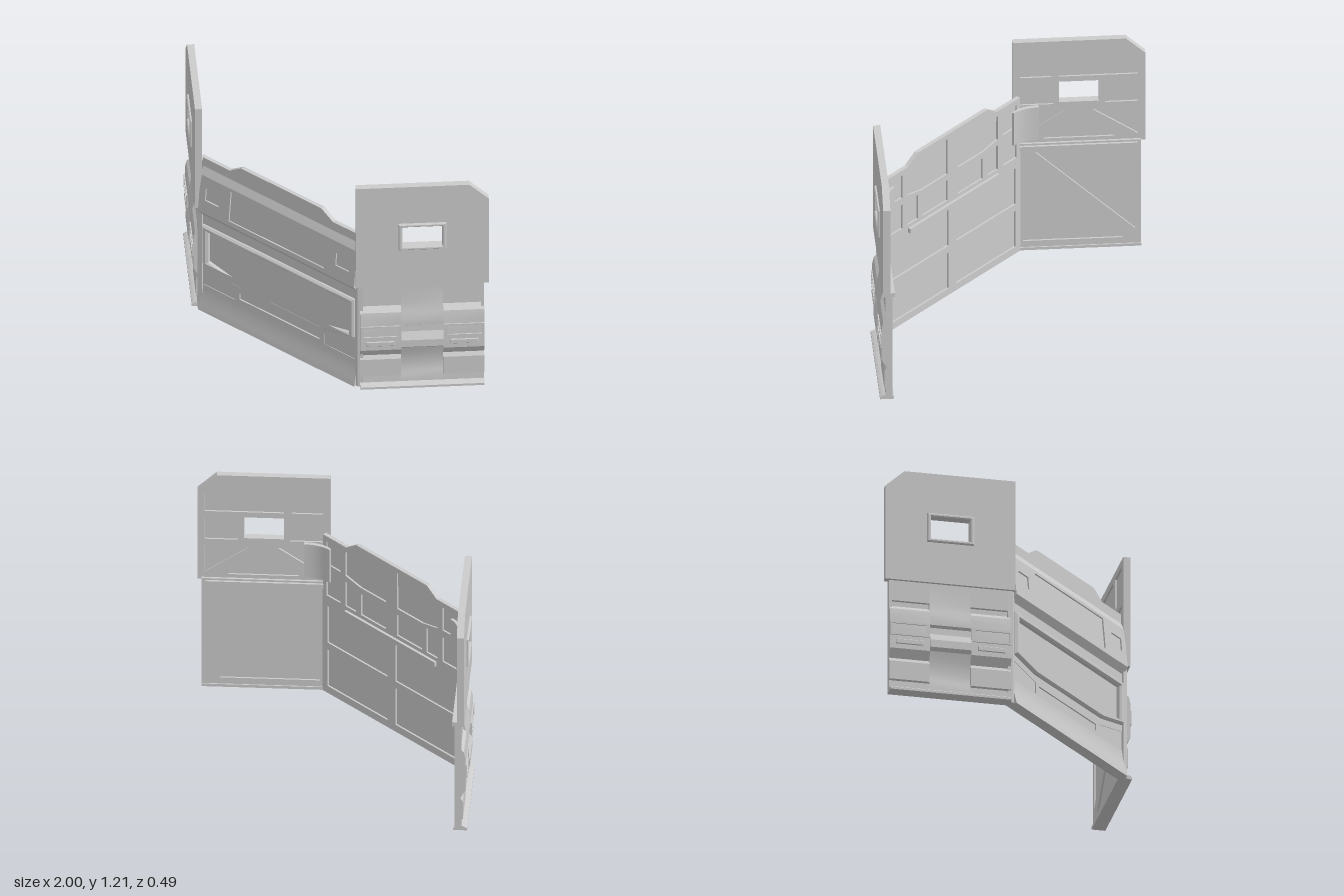
import * as THREE from 'three';
import { toCreasedNormals } from 'three/addons/utils/BufferGeometryUtils.js';

const mat = new THREE.MeshStandardMaterial({ color: 0xcccccc });
const vecs = (pts) => pts.map(([x, y]) => new THREE.Vector2(x, y));
const rect = (x0, x1, y0, y1) => [[x0, y0], [x1, y0], [x1, y1], [x0, y1]];
const flip = (pts) => pts.map(([x, y]) => [-x, y]).reverse();

function add(parent, name, geo) {
  const mesh = new THREE.Mesh(geo, mat);
  mesh.name = name;
  parent.add(mesh);
  return mesh;
}

// Flat sheet with cut-outs, lying between depths z0 and z1
function sheet(outline, holes, z0, z1, bevel = 0) {
  const shape = new THREE.Shape(vecs(outline));
  for (const h of holes) shape.holes.push(new THREE.Path(vecs(h)));
  const geo = new THREE.ExtrudeGeometry(shape, {
    depth: z1 - z0 - bevel, bevelEnabled: bevel > 0, bevelSegments: 1,
    bevelSize: bevel, bevelThickness: bevel, bevelOffset: -bevel,
  });
  return geo.translate(0, 0, z0);
}

// Cross-section of [z, y] points swept across x0..x1
function sweep(pts, x0, x1) {
  const geo = new THREE.ExtrudeGeometry(new THREE.Shape(vecs(pts)), { depth: x1 - x0, bevelEnabled: false });
  return toCreasedNormals(geo.rotateY(-Math.PI / 2).translate(x1, 0, 0), 0.3);
}

// Plan outline of [x, z] points raised from y0 to y1
function column(shape, y0, y1) {
  const geo = new THREE.ExtrudeGeometry(shape, { depth: y1 - y0, bevelEnabled: false, curveSegments: 8 });
  return toCreasedNormals(geo.rotateX(Math.PI / 2).translate(0, y1, 0), 0.5);
}

function box(x0, x1, y0, y1, z0, z1) {
  return new THREE.BoxGeometry(x1 - x0, y1 - y0, z1 - z0)
    .translate((x0 + x1) / 2, (y0 + y1) / 2, (z0 + z1) / 2);
}

function createCentre() {
  const g = new THREE.Group();
  g.name = 'centrePanel';
  const W = 0.515;

  // Core: flared foot, flat middle, overhanging upper half that leans back
  add(g, 'centreCore', sweep([
    [0.188, 0], [0.24, 0], [0.236, 0.02], [0.228, 0.05], [0.22, 0.085], [0.215, 0.115], [0.213, 0.14],
    [0.205, 0.14], [0.205, 0.53], [0.213, 0.53], [0.213, 0.565],
    [0.24, 0.6], [0.232, 0.6], [0.212, 0.81], [0.22, 0.81], [0.2, 0.85], [0.188, 0.85],
  ], -W, W));

  // Lower facing with sunken window band, slot and corner panels
  const band = (x, y0, y1, y2, x2) => [[-x2, y0], [x2, y0], [x, y1], [x, y2], [-x, y2], [-x, y1]];
  const wedge = [[0.295, 0.145], [0.5, 0.145], [0.5, 0.247], [0.295, 0.205]];
  const inner = band(0.465, 0.262, 0.297, 0.48, 0.295);
  add(g, 'lowerFacing', sheet(rect(-W, W, 0.14, 0.53),
    [inner, wedge, flip(wedge), rect(-0.265, 0.265, 0.16, 0.195)], 0.205, 0.213));
  add(g, 'cornerPanelRight', sheet(flip(wedge), [], 0.204, 0.21));
  add(g, 'cornerPanelLeft', sheet(wedge, [], 0.204, 0.21));
  add(g, 'bandRim', sheet(band(0.5, 0.243, 0.282, 0.512, 0.305), [inner], 0.21, 0.232, 0.01));

  // Leaning upper facing with three shallow recesses
  const port = rect(0.385, 0.475, 0.075, 0.145);
  const facing = add(g, 'upperFacing', sheet(rect(-W, W, 0, 0.211),
    [rect(-0.315, 0.315, 0.025, 0.195), port, flip(port)], -0.008, 0));
  facing.position.set(0, 0.6, 0.24);
  facing.rotation.x = -0.095;

  // Top flange with raised middle
  const crest = [[W, 0.9], [0.34, 0.9], [0.265, 0.947], [-0.265, 0.947], [-0.34, 0.9], [-W, 0.9]];
  add(g, 'topFlange', sheet([[-W, 0.84], [W, 0.84], ...crest], [], 0.186, 0.2));

  // Rear ribbing
  const half = [
    rect(0.03, 0.48, 0.04, 0.25), rect(0.03, 0.48, 0.29, 0.5),
    rect(0.385, 0.49, 0.74, 0.87), rect(0.385, 0.49, 0.56, 0.7),
    rect(0.265, 0.345, 0.56, 0.7), rect(0.04, 0.23, 0.56, 0.68),
    [[0.04, 0.715], [0.235, 0.715], [0.345, 0.735], [0.345, 0.87], [0.25, 0.92], [0.04, 0.92]],
  ];
  add(g, 'rearRibs', sheet([[-W, 0], [W, 0], ...crest], [...half, ...half.map(flip)], 0.178, 0.188));
  add(g, 'rearBar', box(-0.34, 0.34, 0.515, 0.54, 0.163, 0.18));
  return g;
}

function createWing() {
  const g = new THREE.Group();
  g.name = 'wing';
  const L = 0.31, C = 0.105, back = [[-0.025, 0.62], [-0.025, 0]];

  // Lower half: two stepped outer columns and a sculpted middle one
  const foot = [[0.028, 0], [0.028, 0.012], [0.015, 0.02], [0, 0.024]];
  const sidePts = [...foot, [-0.002, 0.06], [0.007, 0.066], [0.007, 0.165], [-0.006, 0.185],
    [0.02, 0.23], [0.02, 0.41], [0.012, 0.45], [-0.016, 0.475], [-0.016, 0.5], [0, 0.5], [0, 0.62], ...back];
  const midPts = [...foot, [-0.002, 0.06], [-0.009, 0.085], [-0.012, 0.12], [-0.009, 0.155], [-0.004, 0.185],
    [0.012, 0.235], [0.03, 0.25], [0.03, 0.29], [0.008, 0.33], [0.006, 0.365],
    [0.02, 0.375], [0.02, 0.41], [0.01, 0.45], [0, 0.5], [0, 0.62], ...back];
  add(g, 'middleColumn', sweep(midPts, -C, C));
  for (const s of [-1, 1]) {
    const span = (a, b) => (s > 0 ? [a, b] : [-b, -a]);
    add(g, 'sideColumn', sweep(sidePts, ...span(C, L)));
    // Framed slot and small bar on each side column
    const [a, b] = span(C + 0.005, L);
    const [c, d] = span(C + 0.02, L - 0.012);
    add(g, 'slotFrame', sheet(rect(a, b, 0.302, 0.375), [rect(c, d, 0.312, 0.365)], 0.018, 0.026));
    add(g, 'slotBar', sheet(rect(...span(0.14, 0.28), 0.255, 0.282), [], 0.018, 0.025, 0.003));
    // Closing cheek beside the upper notch
    add(g, 'notchCheek', box(...span(L - 0.015, L), 0.46, 0.51, -0.025, 0));
  }

  // Lower rear frame with diagonal brace
  add(g, 'lowerRearFrame', sheet(rect(-L, L, 0, 0.62), [
    [[-0.28, 0.05], [0.22, 0.05], [-0.28, 0.52]],
    [[0.28, 0.57], [-0.22, 0.57], [0.28, 0.1]],
  ], -0.035, -0.024));
  add(g, 'rearShelf', box(-L, 0.29, 0.585, 0.61, -0.048, -0.034));
  add(g, 'footRail', box(-L, L, 0, 0.015, -0.042, -0.034));

  // Upper shield with clipped outer corner and window
  const U = 0.332;
  const shield = [[-U, 0.61], [U, 0.61], [U, 1.12], [0.235, 1.208], [-U, 1.208]];
  const win = rect(-0.1, 0.1, 0.85, 0.97);
  add(g, 'shield', sheet(shield, [win], -0.012, 0.014));
  add(g, 'windowRim', sheet(rect(-0.12, 0.12, 0.832, 0.988), [win], 0.012, 0.026, 0.005));

  // Upper rear ribbing with an inverted V brace
  const corner = [[0.295, 0.8], [0.07, 0.8], [0.295, 0.65]];
  add(g, 'upperRearRibs', sheet(shield, [
    win,
    [[-0.1, 1.0], [0.295, 1.0], [0.295, 1.1], [0.225, 1.17], [-0.1, 1.17]],
    rect(-0.295, -0.14, 1.0, 1.17),
    rect(0.13, 0.295, 0.84, 0.96), rect(-0.295, -0.13, 0.84, 0.96),
    corner, flip(corner), [[0, 0.78], [-0.18, 0.64], [0.18, 0.64]],
  ], -0.022, -0.011));

  g.position.x = 0.756;
  g.rotation.y = Math.PI / 4;
  return g;
}

// Wing plus the parts joining it to the centre
function createSide(name) {
  const g = new THREE.Group();
  g.name = name;
  g.add(createWing());
  add(g, 'cornerPost', column(new THREE.Shape(vecs(
    [[0.505, 0.182], [0.505, 0.222], [0.527, 0.228], [0.548, 0.21], [0.525, 0.182]])), 0, 0.61));
  const strap = new THREE.Shape();
  strap.moveTo(0.455, 0.18);
  strap.lineTo(0.455, 0.167);
  strap.quadraticCurveTo(0.515, 0.167, 0.58, 0.11);
  strap.lineTo(0.595, 0.125);
  strap.quadraticCurveTo(0.53, 0.19, 0.455, 0.18);
  add(g, 'hingeStrap', column(strap, 0.65, 0.84));
  return g;
}

export function createModel() {
  const model = new THREE.Group();
  model.name = 'barricade';
  const right = createSide('rightSide');
  right.scale.x = -1;
  model.add(createCentre(), createSide('leftSide'), right);
  return model;
}
